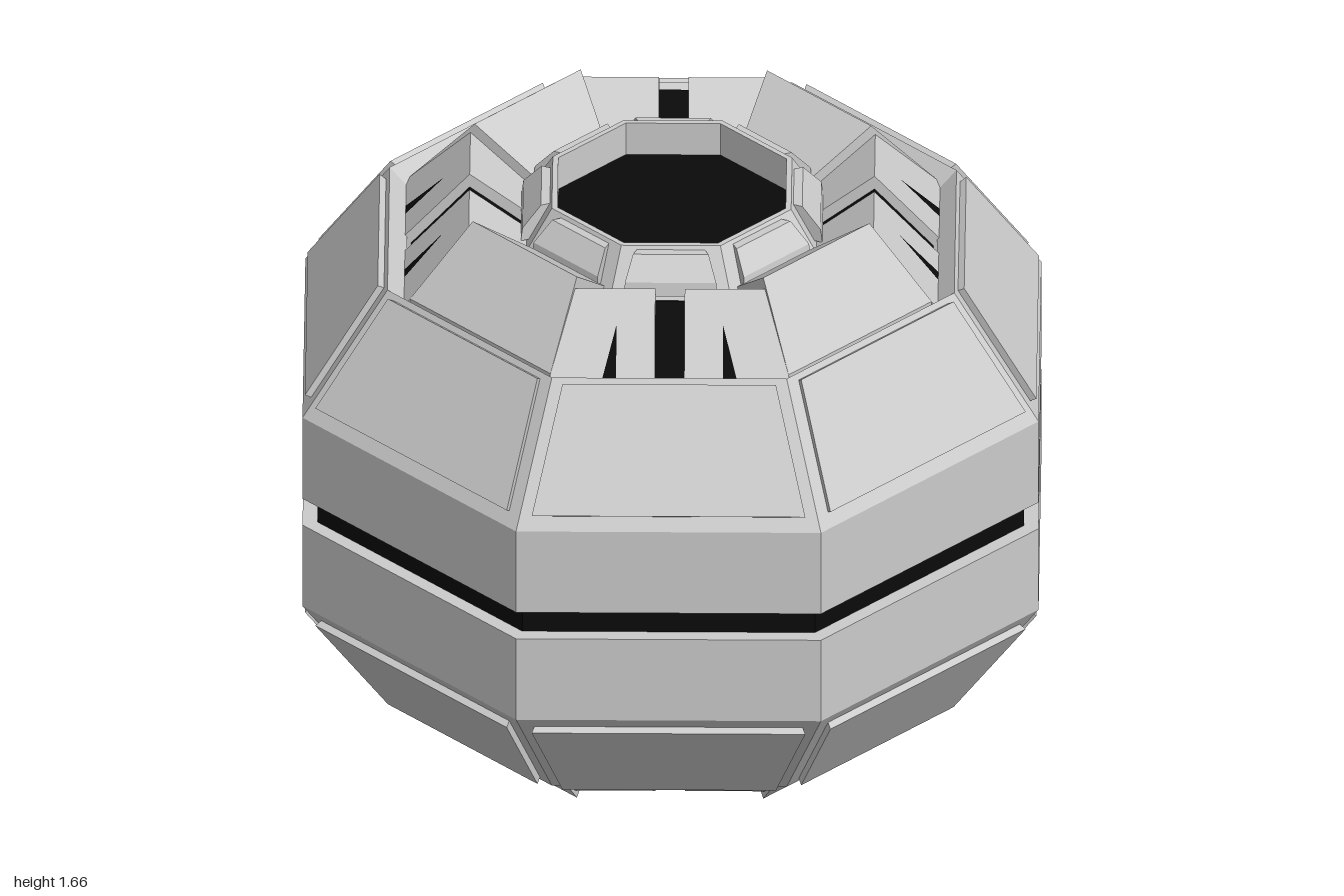
import * as THREE from 'three';

const grey = new THREE.MeshStandardMaterial({ color: 0xcccccc, flatShading: true, side: THREE.DoubleSide });
const black = new THREE.MeshStandardMaterial({ color: 0x0a0a0a, flatShading: true, side: THREE.DoubleSide });
const TAN = Math.tan(Math.PI / 8), COS = Math.cos(Math.PI / 8);
const HEIGHT = 1.66;

function add(parent, name, geometry, material, angle = 0) {
  const mesh = new THREE.Mesh(geometry, material);
  mesh.name = name;
  mesh.rotation.y = angle;
  parent.add(mesh);
  return mesh;
}

// Eight-sided ring; profile points are [distance to the flat side, height]
function octagonRing(profile) {
  const points = profile.map(([r, y]) => new THREE.Vector2(r / COS, y));
  return new THREE.LatheGeometry(points, 8, Math.PI / 8);
}

// Solid with a closed counter-clockwise [r, y] profile, bounded sideways by x0(r) and x1(r), facing +z
function sector(profile, x0, x1) {
  const n = profile.length, positions = [], index = [];
  for (const side of [x0, x1]) for (const [r, y] of profile) positions.push(side(r), y, r);
  for (let i = 0; i < n; i++) {
    const j = (i + 1) % n;
    index.push(j, i, i + n, j, i + n, j + n);
  }
  const outline = profile.map(([r, y]) => new THREE.Vector2(r, y));
  for (const [a, b, c] of THREE.ShapeUtils.triangulateShape(outline, [])) {
    index.push(a, b, c, a + n, c + n, b + n);
  }
  const geometry = new THREE.BufferGeometry();
  geometry.setAttribute('position', new THREE.Float32BufferAttribute(positions, 3));
  geometry.setIndex(index);
  const flat = geometry.toNonIndexed();
  flat.computeVertexNormals();
  return flat;
}

const wedge = (profile, slope, inset) =>
  sector(profile, r => -(slope * r - inset), r => slope * r - inset);

// Black triangular vent lying on the recessed roof slope
function ventGeometry(s) {
  const roofY = r => 1.63 + (0.55 - r) * (0.2 / 0.18) + 0.004;
  const corners = [[0.145, 0.725], [0.185, 0.725], [0.145, 0.62]];
  const geometry = new THREE.BufferGeometry();
  geometry.setAttribute('position', new THREE.Float32BufferAttribute(
    corners.flatMap(([x, r]) => [s * x, roofY(r), r]), 3));
  geometry.setIndex(s > 0 ? [0, 1, 2] : [0, 2, 1]);
  geometry.computeVertexNormals();
  return geometry;
}

function createHalf() {
  const half = new THREE.Group();

  // Outer shell, inner rim and dark floor of the opening
  add(half, 'shell', octagonRing([[0.9, 0.872], [1, 0.872], [1, 1.13], [0.77, 1.48], [0.72, 1.43], [0.72, 1.35]]), grey);
  add(half, 'rim', octagonRing([[0.4, 1.5], [0.325, 1.63], [0.31, 1.63], [0.31, 1.52]]), grey);
  add(half, 'openingFloor', octagonRing([[0.32, 1.53], [0, 1.53]]), black);

  // Shared part shapes
  const nx = 0.0167, ny = 0.011;
  const panel = wedge([[0.96, 1.165], [0.977, 1.165], [0.977 + nx, 1.165 + ny],
    [0.78 + nx, 1.465 + ny], [0.78, 1.465], [0.763, 1.465]], TAN, 0.04);
  const tab = wedge([[0.33, 1.52], [0.41, 1.52], [0.405, 1.56], [0.355, 1.62], [0.33, 1.62]], 0.43, 0.05);
  const raisedRoof = wedge([[0.38, 1.35], [0.73, 1.35], [0.73, 1.455], [0.56, HEIGHT], [0.38, 1.52]], TAN, 0.03);
  const low = [[0.38, 1.35], [0.73, 1.35], [0.73, 1.43], [0.55, 1.63], [0.38, 1.5]];
  const edge = r => TAN * r + 0.03;
  const lowRight = sector(low, () => 0.04, edge);
  const lowLeft = sector(low, r => -edge(r), () => -0.04);
  const slot = sector([[0.4, 1.35], [0.71, 1.35], [0.71, 1.41], [0.55, 1.59], [0.4, 1.475]], () => -0.04, () => 0.04);

  for (let i = 0; i < 8; i++) {
    const angle = i * Math.PI / 4;
    add(half, 'sidePanel', panel, grey, angle);
    add(half, 'rimTab', tab, grey, angle);
    if (i % 2) {
      add(half, 'raisedRoof', raisedRoof, grey, angle);
    } else {
      // Recessed roof, split by a dark slot and flanked by vents
      add(half, 'recessedRoof', lowRight, grey, angle);
      add(half, 'recessedRoof', lowLeft, grey, angle);
      add(half, 'slot', slot, black, angle);
      for (const s of [-1, 1]) add(half, 'vent', ventGeometry(s), black, angle);
    }
  }
  return half;
}

export function createModel() {
  const model = new THREE.Group();
  model.name = 'octagonalPod';

  const upper = createHalf();
  upper.name = 'upperHalf';
  const lower = createHalf();
  lower.name = 'lowerHalf';
  lower.rotation.x = Math.PI;
  lower.position.y = HEIGHT;
  model.add(upper, lower);

  // Dark core showing in the gap between the halves
  add(model, 'core', octagonRing([[0, 0.78], [0.96, 0.78], [0.96, 0.88], [0, 0.88]]), black);
  return model;
}
